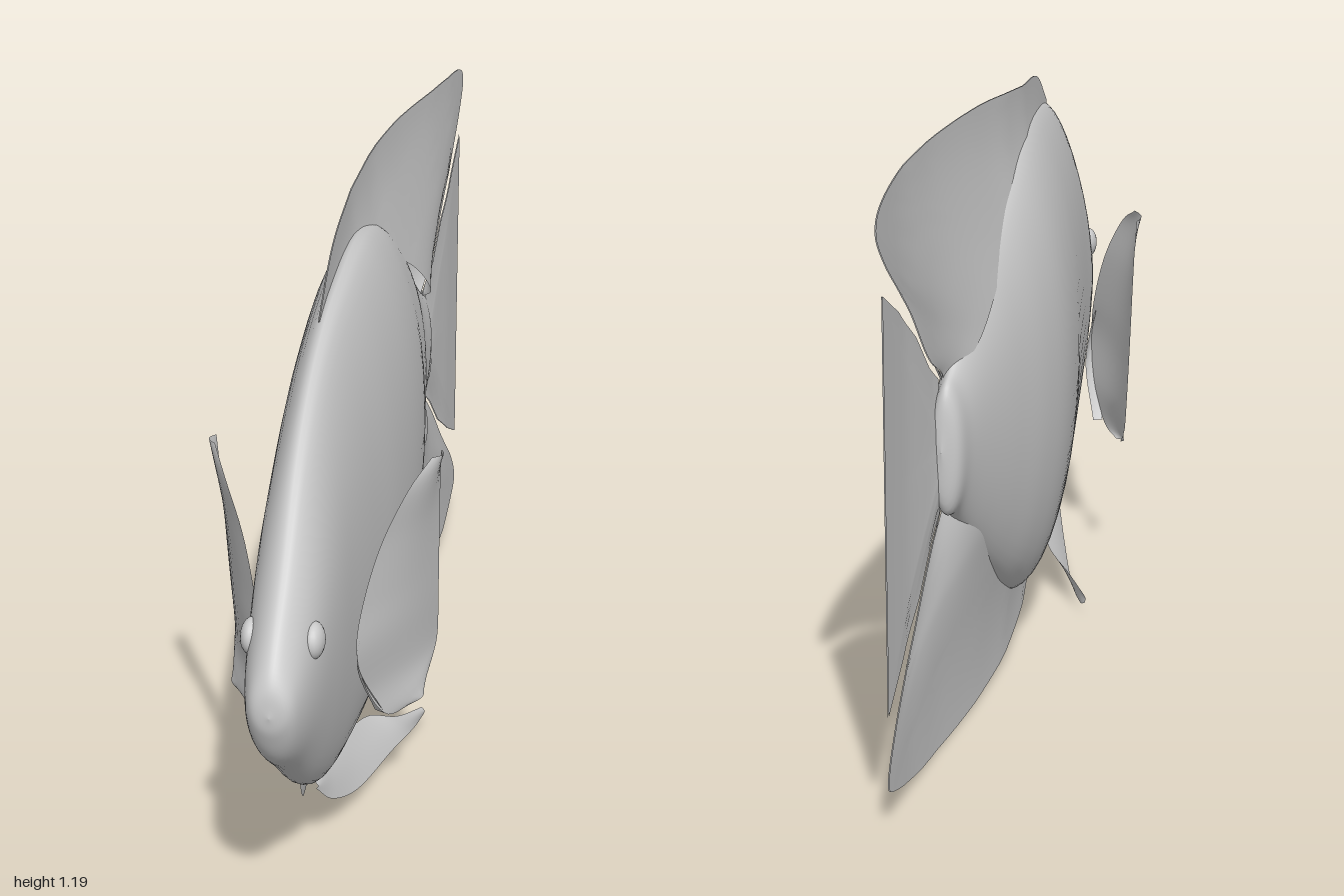
import * as THREE from 'three';

const skin = new THREE.MeshStandardMaterial({ color: 0xcccccc });
const finSkin = new THREE.MeshStandardMaterial({ color: 0xcccccc, side: THREE.DoubleSide });

// Uniform spline through [x, y, z] points; tension 0 gives straight segments
const spline = (pts, tension = 0.5) =>
  new THREE.CatmullRomCurve3(pts.map(p => new THREE.Vector3(...p)), false, 'catmullrom', tension);

// Smooth grid surface from a point function of (row, column)
function gridMesh(name, rows, cols, wrap, material, point) {
  const pos = [], index = [], stride = wrap ? cols : cols + 1;
  for (let i = 0; i <= rows; i++)
    for (let j = 0; j < stride; j++) pos.push(...point(i / rows, j / cols));
  for (let i = 0; i < rows; i++)
    for (let j = 0; j < cols; j++) {
      const k = wrap ? (j + 1) % cols : j + 1;
      const a = i * stride + j, b = i * stride + k, c = a + stride, d = b + stride;
      index.push(a, c, b, b, c, d);
    }
  const geo = new THREE.BufferGeometry();
  geo.setAttribute('position', new THREE.Float32BufferAttribute(pos, 3));
  geo.setIndex(index);
  geo.computeVertexNormals();
  const mesh = new THREE.Mesh(geo, material);
  mesh.name = name;
  return mesh;
}

// Body stations: z, top, bottom, half width, sideways offset
const stations = [
  [1.0, 0.55, 0.55, 0, 0], [0.99, 0.605, 0.505, 0.034, 0], [0.95, 0.66, 0.435, 0.052, 0],
  [0.86, 0.75, 0.36, 0.068, 0], [0.73, 0.895, 0.25, 0.08, 0], [0.59, 0.995, 0.17, 0.088, 0],
  [0.43, 1.055, 0.127, 0.1, 0], [0.25, 1.08, 0.11, 0.115, 0], [0.05, 1.08, 0.11, 0.126, -0.005],
  [-0.12, 1.05, 0.135, 0.124, -0.01], [-0.25, 1.0, 0.195, 0.105, -0.008],
  [-0.37, 0.92, 0.275, 0.08, 0.003], [-0.48, 0.82, 0.37, 0.056, 0.014],
  [-0.57, 0.745, 0.455, 0.04, 0.026], [-0.625, 0.71, 0.485, 0.028, 0.03], [-0.64, 0.6, 0.6, 0, 0.035],
];

function makeBody() {
  const heights = spline(stations.map(s => [s[1], s[2], s[0]]));
  const widths = spline(stations.map(s => [s[3], s[4], s[0]]));
  return gridMesh('body', 90, 48, true, skin, (u, v) => {
    const h = heights.getPoint(u), w = widths.getPoint(u), a = v * Math.PI * 2;
    const ridge = 1 - 0.2 * Math.max(0, Math.sin(a)) ** 4; // narrower along the back
    return [w.y + w.x * ridge * Math.cos(a), (h.x + h.y) / 2 + (h.x - h.y) / 2 * Math.sin(a), h.z];
  });
}

// Sideways sweep of the unpaired fins along the body: [z, x]
const sweep = [[0.45, -0.01], [0, -0.022], [-0.2, -0.012], [-0.4, 0.015], [-0.63, 0.052], [-0.8, 0.07], [-1.02, 0.077]];
function sweepX(z) {
  let i = 0;
  while (i < sweep.length - 2 && z < sweep[i + 1][0]) i++;
  const [z0, x0] = sweep[i], [z1, x1] = sweep[i + 1];
  return THREE.MathUtils.lerp(x0, x1, THREE.MathUtils.clamp((z - z0) / (z1 - z0), 0, 1));
}

// Unpaired fin: two skins from base to rim ([z, y] points), flaring at the rear of the base
function medianFin(name, base, rim, flare, tension) {
  const group = new THREE.Group();
  group.name = name;
  const flat = p => [0, p[1], p[0]];
  const b = spline(base.map(flat)), r = spline(rim.map(flat), tension);
  for (const side of [-1, 1])
    group.add(gridMesh(name + (side < 0 ? 'RightSkin' : 'LeftSkin'), (rim.length - 1) * 6, 10, false, finSkin, (u, v) => {
      const p = b.getPoint(u).lerp(r.getPoint(u), v);
      const thick = flare * (1 - v) ** 2 * Math.sin(Math.PI * u * u) + 0.001;
      return [sweepX(p.z) + side * thick, p.y, p.z];
    }));
  return group;
}

// Thin sheet between two edges of [x, y, z] points, bulging outward
function sheet(name, edgeA, edgeB, bulge) {
  const a = spline(edgeA), b = spline(edgeB);
  return gridMesh(name, 36, 8, false, finSkin, (u, v) => {
    const p = a.getPoint(u).lerp(b.getPoint(u), v);
    return [p.x + bulge * Math.sin(Math.PI * v), p.y, p.z];
  });
}

// Eye and paired fins of the left side
function makeSide(name) {
  const group = new THREE.Group();
  group.name = name;
  const eye = new THREE.Mesh(new THREE.SphereGeometry(0.034, 20, 14), skin);
  eye.name = 'eye';
  eye.scale.x = 0.6;
  eye.position.set(0.055, 0.635, 0.865);
  group.add(eye);

  group.add(sheet('pectoralFin',
    [[0.205, 0.81, 0.46], [0.17, 0.77, 0.53], [0.128, 0.68, 0.58], [0.1, 0.57, 0.618],
      [0.092, 0.48, 0.632], [0.105, 0.37, 0.58], [0.135, 0.295, 0.53], [0.17, 0.28, 0.46]],
    [[0.215, 0.8, 0.4], [0.213, 0.74, 0.39], [0.211, 0.66, 0.377], [0.209, 0.56, 0.362],
      [0.207, 0.47, 0.347], [0.204, 0.37, 0.33], [0.198, 0.33, 0.36], [0.185, 0.29, 0.41]], 0.013));

  // Folded root joining the fin to the flank
  group.add(sheet('pectoralRoot',
    [[0.105, 0.54, 0.605], [0.095, 0.46, 0.635], [0.13, 0.3, 0.535]],
    [[0.1, 0.53, 0.595], [0.085, 0.42, 0.58], [0.11, 0.3, 0.525]], 0));

  group.add(sheet('pelvicFin',
    [[0.01, 0.165, 0.61], [0.03, 0.1, 0.54], [0.06, 0.045, 0.41], [0.1, 0.022, 0.22],
      [0.13, 0.018, 0.12], [0.145, 0.03, 0.08]],
    [[0.005, 0.165, 0.59], [0.01, 0.14, 0.45], [0.025, 0.122, 0.32], [0.05, 0.1, 0.22],
      [0.1, 0.068, 0.16], [0.142, 0.05, 0.085]], 0.004));
  return group;
}

export function createModel() {
  const model = new THREE.Group();
  model.name = 'fish';
  model.add(makeBody());

  model.add(medianFin('dorsalFin',
    [[0.43, 1.04], [0.2, 1.04], [-0.1, 1.0], [-0.35, 0.88], [-0.5, 0.77], [-0.58, 0.72]],
    [[0.43, 1.06], [0.25, 1.14], [0, 1.165], [-0.35, 1.19], [-0.7, 1.175], [-0.93, 1.145],
      [-1, 1.1], [-0.94, 1.03], [-0.78, 0.915], [-0.66, 0.79], [-0.57, 0.73]], 0.045));

  model.add(medianFin('analFin',
    [[0.15, 0.13], [-0.05, 0.15], [-0.25, 0.24], [-0.4, 0.35], [-0.5, 0.42], [-0.58, 0.48]],
    [[0.15, 0.105], [-0.08, 0.035], [-0.4, 0.002], [-0.72, 0.01], [-0.92, 0.06], [-0.965, 0.1],
      [-0.9, 0.18], [-0.79, 0.27], [-0.68, 0.385], [-0.59, 0.47]], 0.04));

  model.add(medianFin('tailFin',
    [[-0.6, 0.72], [-0.61, 0.6], [-0.6, 0.48]],
    [[-0.6, 0.73], [-0.65, 0.765], [-0.73, 0.845], [-0.84, 0.92], [-0.96, 0.98], [-0.96, 0.6],
      [-0.96, 0.22], [-0.84, 0.28], [-0.73, 0.35], [-0.65, 0.43], [-0.6, 0.47]], 0.012, 0));

  const right = makeSide('rightSide');
  right.scale.x = -1;
  model.add(makeSide('leftSide'), right);
  return model;
}
